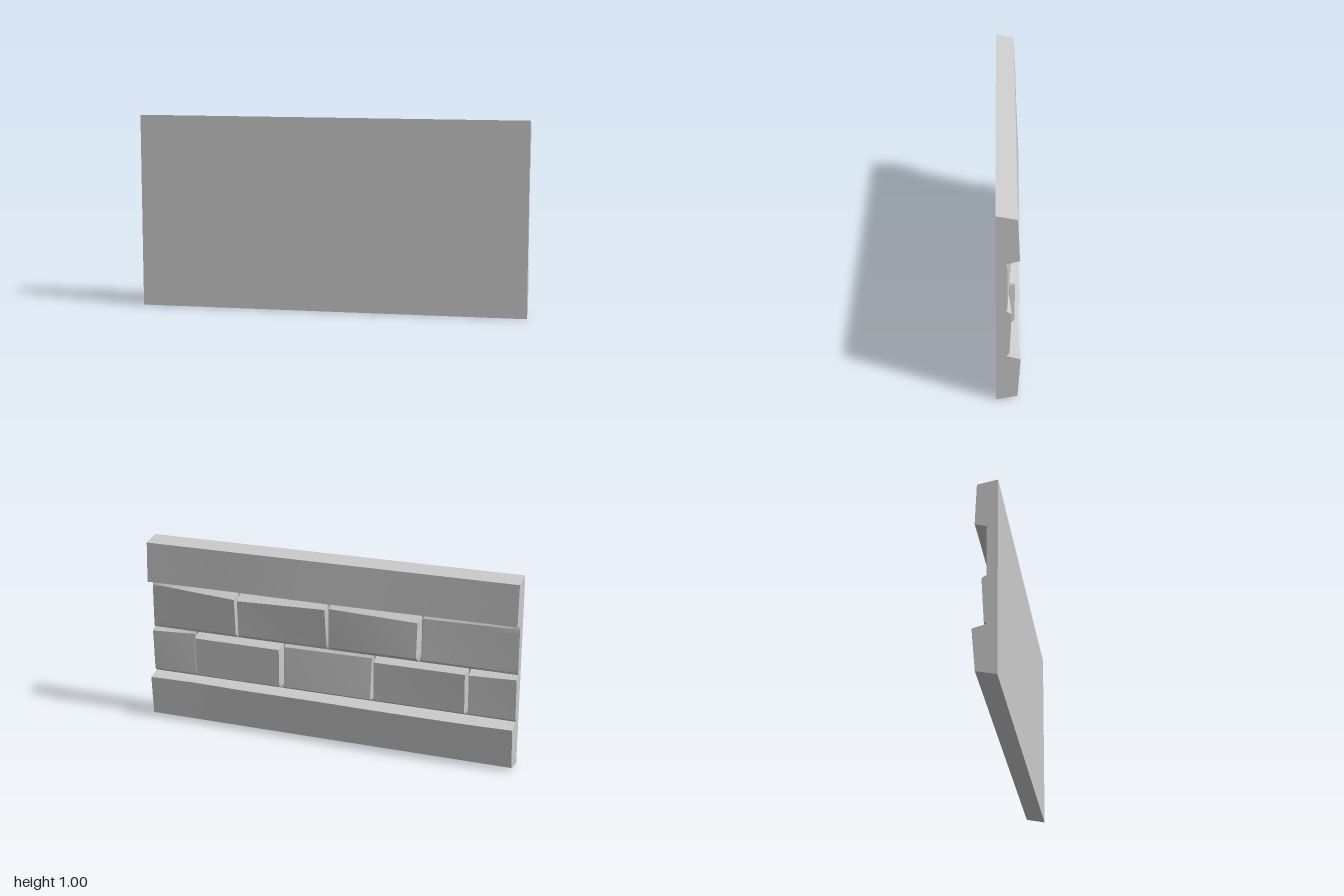
import * as THREE from 'three';
import { toCreasedNormals } from 'three/addons/utils/BufferGeometryUtils.js';

const FRONT = 0.0625; // flat side of the panel
const GROOVE = 0.015; // depth of the joints between stones

const material = new THREE.MeshStandardMaterial({ color: 0xcccccc });

function addMesh(group, name, geometry) {
  const mesh = new THREE.Mesh(toCreasedNormals(geometry, 0.4), material);
  mesh.name = name;
  group.add(mesh);
}

// Long border course: a profile swept along x whose ridge depth wanders.
// Ridge depths run evenly from x = -1 to x = 1.
function beam(profile, ridgeY, ridge) {
  const shape = new THREE.Shape(profile.map(([z, y]) => new THREE.Vector2(-z, y)));
  const geometry = new THREE.ExtrudeGeometry(shape, { depth: 2, steps: 16, bevelEnabled: false });
  geometry.rotateY(Math.PI / 2).translate(-1, 0, 0);
  const curve = new THREE.CatmullRomCurve3(ridge.map((z, i) => new THREE.Vector3(i, 0, z)));
  const p = geometry.attributes.position;
  for (let i = 0; i < p.count; i++) {
    if (Math.abs(p.getY(i) - ridgeY) > 1e-4) continue;
    const t = THREE.MathUtils.clamp((p.getX(i) + 1) / 2, 0, 1);
    p.setZ(i, curve.getPoint(t).z);
  }
  return geometry;
}

// Stone: the outer ring of a grid stays in the joints, the rest forms a twisted face.
// z = depths at [+x top, +x bottom, -x top, -x bottom].
function stone(x0, x1, y0, y1, z, slope) {
  const n = 10;
  const geometry = new THREE.PlaneGeometry(1, 1, n, n);
  const p = geometry.attributes.position;
  const { lerp, clamp } = THREE.MathUtils;
  // outside ends of the course stay square
  const insetHigh = x1 > 0.99 ? 0 : 0.01;
  const insetLow = x0 < -0.99 ? 0 : 0.01;
  for (let i = 0; i < p.count; i++) {
    const col = i % (n + 1), row = Math.floor(i / (n + 1));
    const rim = col === 0 || col === n || row === 0 || row === n;
    const u = clamp((col - 1) / (n - 2), 0, 1);
    const v = clamp((row - 1) / (n - 2), 0, 1);
    const depth = lerp(lerp(z[0], z[1], v), lerp(z[2], z[3], v), u);
    const inset = 0.01 + slope * (GROOVE - depth);
    let x = lerp(x1 - insetHigh, x0 + insetLow, u);
    let y = lerp(y1 - inset, y0 + inset, v);
    if (col === 0) x = x1;
    if (col === n) x = x0;
    if (row === 0) y = y1;
    if (row === n) y = y0;
    p.setXYZ(i, x, y, rim ? GROOVE : depth);
  }
  return geometry;
}

export function createModel() {
  const model = new THREE.Group();
  model.name = 'stoneWallPanel';

  // Backing slab between the two border courses
  const slab = new THREE.BoxGeometry(2, 0.5, FRONT - GROOVE);
  slab.translate(0, 0.5, (FRONT + GROOVE) / 2);
  addMesh(model, 'backingSlab', slab);

  // Border courses
  addMesh(model, 'bottomCourse', beam(
    [[FRONT, 0], [-0.0375, 0.02], [-0.05, 0.23], [GROOVE, 0.25], [FRONT, 0.25]], 0.23,
    [-0.055, -0.0625, -0.0625, -0.061, -0.055, -0.053, -0.052, -0.043, -0.052]));
  addMesh(model, 'topCourse', beam(
    [[FRONT, 0.75], [GROOVE, 0.75], [-0.05, 0.768], [-0.0375, 0.98], [FRONT, 1]], 0.768,
    [-0.046, -0.046, -0.048, -0.05, -0.052, -0.05, -0.045, -0.044, -0.047]));

  // Middle courses of staggered stones, listed from +x to -x
  const courses = [
    {
      name: 'lowerStone', y: 0.25, slope: 0.3, joints: [1, 0.75, 0.25, -0.25, -0.75, -1],
      depths: [
        [-0.01, 0, 0.008, 0.008],
        [-0.028, -0.025, -0.03, -0.028],
        [0, -0.01, 0.005, -0.018],
        [-0.025, -0.023, -0.025, -0.015],
        [-0.025, -0.02, -0.012, 0],
      ],
    },
    {
      name: 'upperStone', y: 0.5, slope: 0.45, joints: [1, 0.5, 0, -0.5, -1],
      depths: [
        [0.01, 0.01, -0.03, -0.015],
        [-0.035, -0.025, -0.02, 0.008],
        [-0.01, -0.008, -0.03, -0.045],
        [0.004, -0.006, 0.01, 0.01],
      ],
    },
  ];
  for (const { name, y, slope, joints, depths } of courses) {
    depths.forEach((z, i) =>
      addMesh(model, name + (i + 1), stone(joints[i + 1], joints[i], y, y + 0.25, z, slope)));
  }

  // End faces where stones stand proud at the panel's sides are closed by the grid rim
  return model;
}
